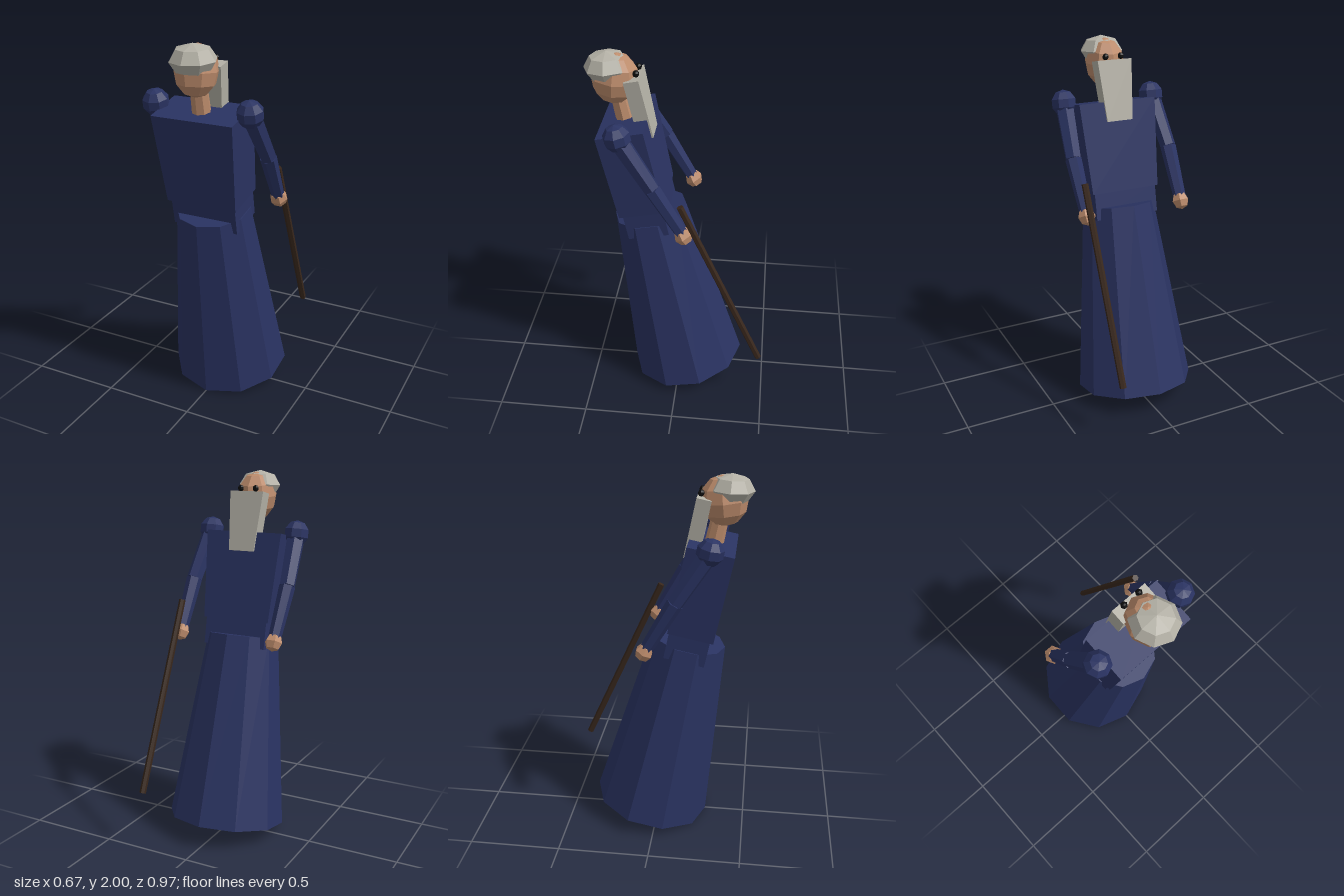
import * as THREE from 'three';

const paint = (color) => new THREE.MeshStandardMaterial({ color, flatShading: true });

export function createModel() {
  const robe = paint(0x2a3362), skin = paint(0xbd8c6c), hair = paint(0xb4b1a6);
  const wood = paint(0x38271c), black = paint(0x0c0c0c);
  const model = new THREE.Group();
  model.name = 'robedElder';

  const add = (parent, name, geometry, material, x, y, z) => {
    const mesh = new THREE.Mesh(geometry, material);
    mesh.name = name;
    mesh.position.set(x, y, z);
    parent.add(mesh);
    return mesh;
  };

  // Box whose bottom width differs from its top width
  const taperedBox = (topWidth, bottomWidth, height, depth) => {
    const g = new THREE.BoxGeometry(1, height, depth);
    const p = g.attributes.position;
    for (let i = 0; i < p.count; i++) {
      p.setX(i, p.getX(i) * (p.getY(i) > 0 ? topWidth : bottomWidth));
    }
    g.computeVertexNormals();
    return g;
  };

  // Tapered rod running from point a (radius ra) to point b (radius rb)
  const rod = (parent, name, a, b, ra, rb, sides, material) => {
    const from = new THREE.Vector3(...a), to = new THREE.Vector3(...b);
    const dir = to.clone().sub(from);
    const mid = from.clone().add(to).multiplyScalar(0.5);
    const mesh = add(parent, name, new THREE.CylinderGeometry(rb, ra, dir.length(), sides), material, mid.x, mid.y, mid.z);
    mesh.quaternion.setFromUnitVectors(new THREE.Vector3(0, 1, 0), dir.normalize());
    return mesh;
  };

  // Leaning body: skirt, waist, torso, neck and beard share one tilt
  const body = new THREE.Group();
  body.name = 'body';
  body.rotation.x = 0.2;
  body.position.set(0, 0.011, -0.054);
  model.add(body);
  add(body, 'skirt', new THREE.CylinderGeometry(0.2, 0.325, 1.05, 10), robe, 0, 0.58, 0);
  add(body, 'waist', new THREE.BoxGeometry(0.37, 0.16, 0.22), robe, 0, 1.12, 0);
  add(body, 'torso', taperedBox(0.45, 0.395, 0.487, 0.246), robe, 0, 1.43, 0.005);
  add(body, 'neck', new THREE.CylinderGeometry(0.045, 0.05, 0.16, 8), skin, 0, 1.73, 0.01);
  add(body, 'beard', taperedBox(0.2, 0.15, 0.325, 0.078), hair, 0, 1.73, -0.088);

  // Head bowed slightly forward, with a flattened cap of hair at the back
  const head = add(model, 'head', new THREE.SphereGeometry(1, 8, 6), skin, 0, 1.86, 0.33);
  head.scale.set(0.11, 0.132, 0.125);
  head.rotation.x = -0.1;
  const cap = add(model, 'hairCap', new THREE.SphereGeometry(0.121, 8, 4), hair, 0, 1.918, 0.366);
  cap.scale.y = 0.67;
  cap.rotation.x = 0.06;
  cap.geometry.rotateY(Math.PI / 2);

  // Eyes and arms, mirrored
  for (const [side, s] of [['left', 1], ['right', -1]]) {
    add(model, side + 'Eye', new THREE.SphereGeometry(0.018, 6, 5), black, s * 0.045, 1.905, 0.217);

    const arm = new THREE.Group();
    arm.name = side + 'Arm';
    model.add(arm);
    const shoulder = [s * 0.264, 1.665, 0.284];
    const elbow = [s * 0.288, 1.4, 0.115];
    const hand = [s * 0.285, 1.125, -0.043];
    add(arm, side + 'Shoulder', new THREE.SphereGeometry(0.072, 8, 5), robe, ...shoulder).rotation.x = 0.2;
    rod(arm, side + 'UpperArm', shoulder, elbow, 0.052, 0.044, 6, robe);
    rod(arm, side + 'Forearm', elbow, hand, 0.044, 0.034, 6, robe);
    add(arm, side + 'Hand', new THREE.SphereGeometry(0.05, 6, 4), skin, ...hand).rotation.x = 0.5;
  }

  // Walking staff held in one hand
  rod(model, 'staff', [0.285, 0.312, -0.47], [0.285, 1.3, -0.025], 0.018, 0.018, 6, wood);

  return model;
}
